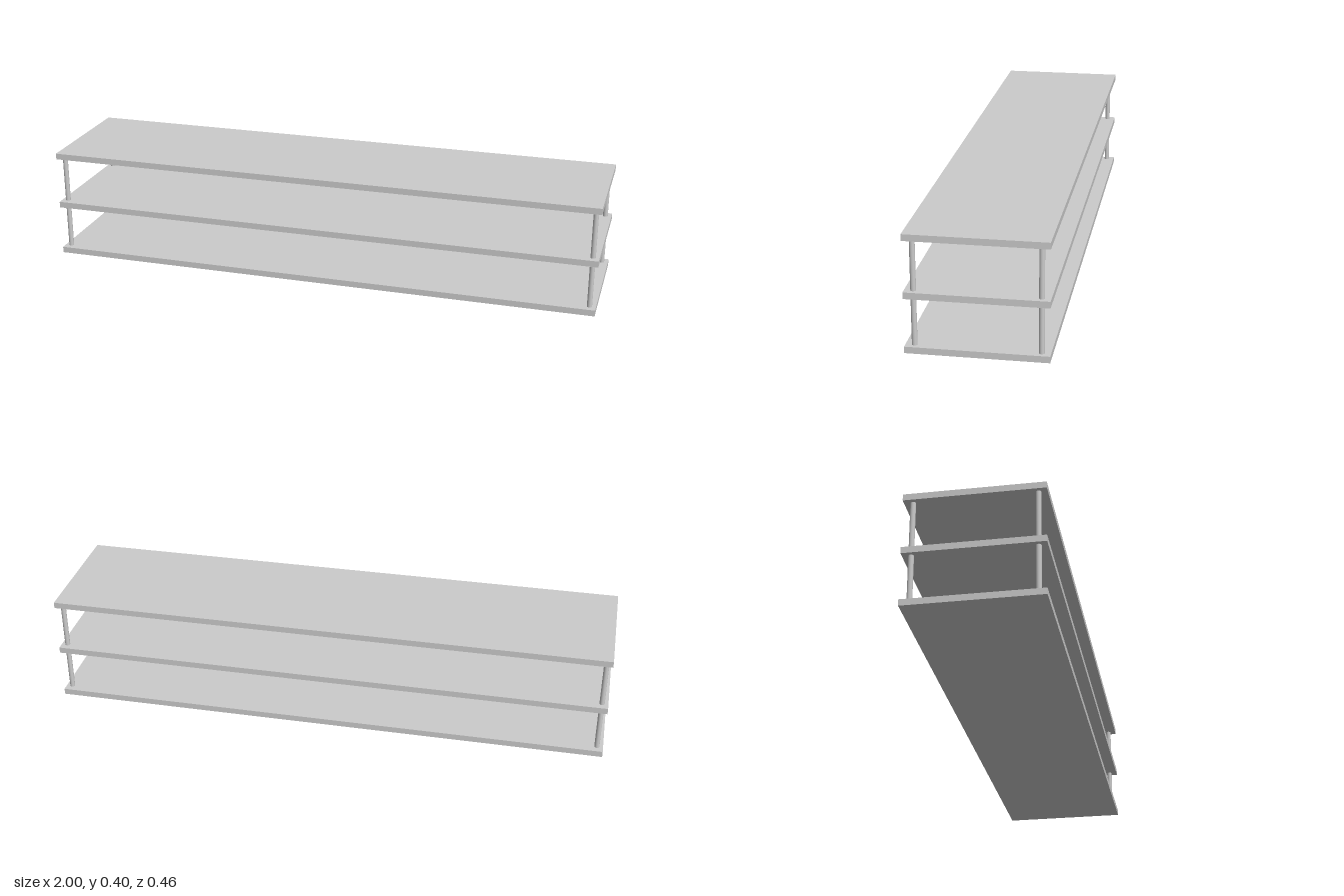
import * as THREE from 'three';

export function createModel() {
  const group = new THREE.Group();
  const material = new THREE.MeshStandardMaterial({ color: 0xcccccc });
  const thickness = 0.022, depth = 0.458;
  const shelfBottoms = [0, 0.183, 0.374];

  function add(name, geometry, x, y, z) {
    const mesh = new THREE.Mesh(geometry, material);
    mesh.name = name;
    mesh.position.set(x, y, z);
    group.add(mesh);
  }

  // Three long shelf boards
  const board = new THREE.BoxGeometry(2, thickness, depth);
  ['bottomShelf', 'middleShelf', 'topShelf'].forEach((name, i) =>
    add(name, board, 0, shelfBottoms[i] + thickness / 2, 0));

  // Slim round posts at the four corners of each tier
  for (let i = 0; i < 2; i++) {
    const low = shelfBottoms[i] + thickness, high = shelfBottoms[i + 1];
    const post = new THREE.CylinderGeometry(0.009, 0.009, high - low, 16);
    for (const x of [-1, 1]) for (const z of [-1, 1]) {
      const name = (i ? 'upper' : 'lower') + (z > 0 ? 'Front' : 'Back') + (x > 0 ? 'Left' : 'Right') + 'Post';
      add(name, post, x * 0.978, (low + high) / 2, z * 0.2);
    }
  }
  return group;
}
